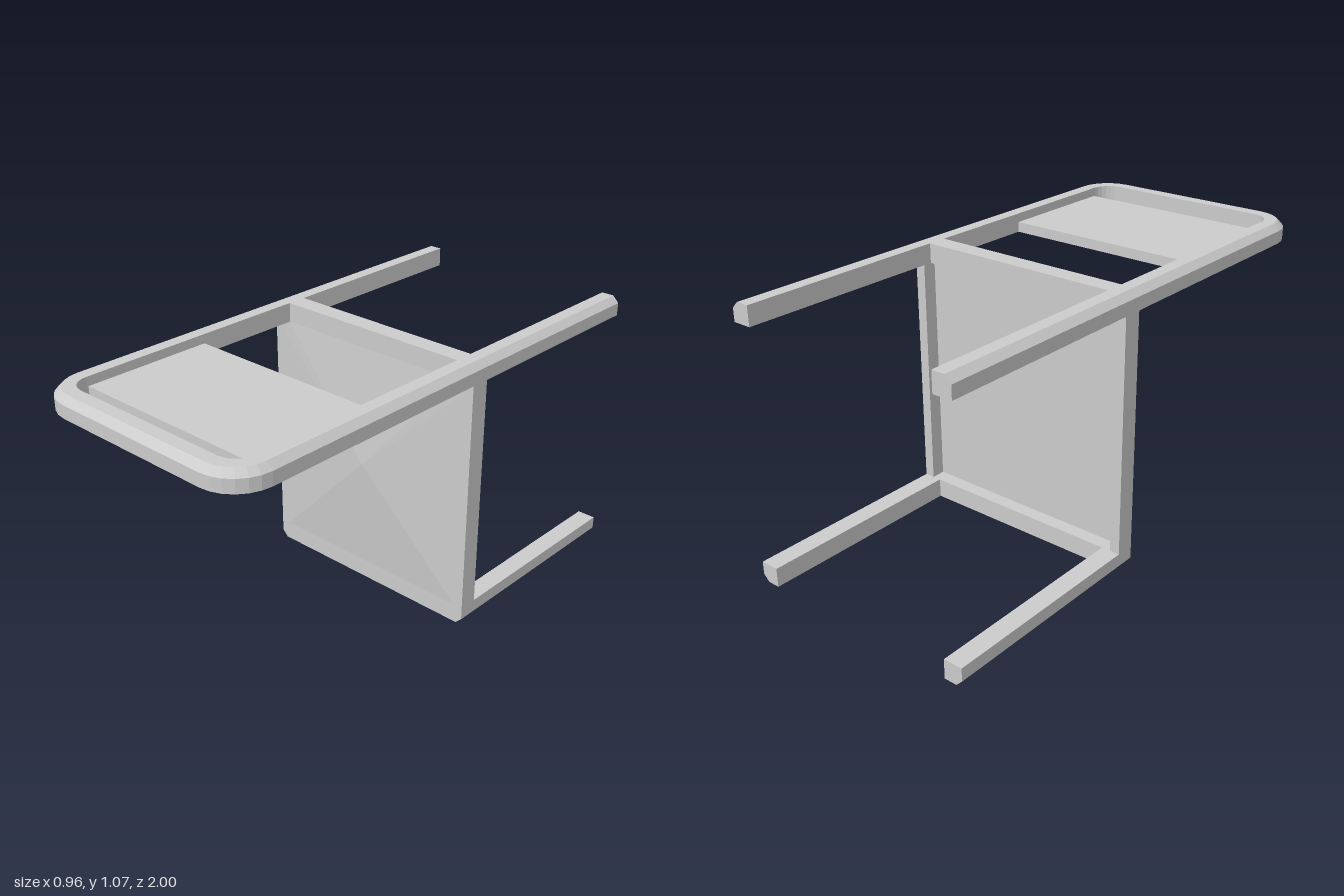
import * as THREE from 'three';

const material = new THREE.MeshStandardMaterial({ color: 0xcccccc, flatShading: true });

function fromTriangles(points, name) {
  const geometry = new THREE.BufferGeometry();
  geometry.setAttribute('position', new THREE.Float32BufferAttribute(points.flat(), 3));
  geometry.computeVertexNormals();
  const mesh = new THREE.Mesh(geometry, material);
  mesh.name = name;
  return mesh;
}

// Box given by its two opposite corners
function box(name, [x0, y0, z0], [x1, y1, z1]) {
  const mesh = new THREE.Mesh(new THREE.BoxGeometry(x1 - x0, y1 - y0, z1 - z0), material);
  mesh.position.set((x0 + x1) / 2, (y0 + y1) / 2, (z0 + z1) / 2);
  mesh.name = name;
  return mesh;
}

// Sweeps a section of [outward offset, y] along a path of [x, z, normalX, normalZ]
function sweep(name, section, path) {
  const loops = path.map(([x, z, nx, nz]) => section.map(([d, y]) => [x + nx * d, y, z + nz * d]));
  const n = section.length;
  const tris = [];
  for (let i = 0; i < loops.length - 1; i++) {
    for (let j = 0; j < n; j++) {
      const k = (j + 1) % n;
      const [a, b, c, d] = [loops[i][j], loops[i][k], loops[i + 1][k], loops[i + 1][j]];
      tris.push(a, b, c, a, c, d);
    }
  }
  const first = loops[0];
  const last = loops[loops.length - 1];
  for (let j = 1; j < n - 1; j++) {
    tris.push(first[0], first[j + 1], first[j], last[0], last[j], last[j + 1]);
  }
  return fromTriangles(tris, name);
}

// Shallow faceted bulge: a fan from a rim to one apex
function bulge(name, rim, apex) {
  return fromTriangles(rim.flatMap((p, i) => [p, rim[(i + 1) % rim.length], apex]), name);
}

export function createModel() {
  const chair = new THREE.Group();
  chair.name = 'chairLyingOnItsBack';

  // Rear legs and back frame: one U-shaped bar, chamfered on its outer top edge
  const path = [[0.405, -1, 1, 0]];
  const radius = 0.075;
  const steps = 6;
  for (const [cx, start] of [[0.33, 0], [-0.33, Math.PI / 2]]) {
    for (let i = 0; i <= steps; i++) {
      const a = start + (i / steps) * Math.PI / 2;
      const [nx, nz] = [Math.cos(a), Math.sin(a)];
      path.push([cx + radius * nx, 0.85 + radius * nz, nx, nz]);
    }
  }
  path.push([-0.405, -1, -1, 0]);
  const upperSection = [[0, 0.99], [0.075, 0.99], [0.075, 1.04], [0.05, 1.065], [0, 1.065]];
  chair.add(sweep('backFrame', upperSection, path));

  // Front legs, chamfered on their outer lower edge, and seat side rails
  const lowerSection = [[0, 0], [0.05, 0], [0.075, 0.025], [0.075, 0.075], [0, 0.075]];
  for (const s of [1, -1]) {
    const side = s > 0 ? 'left' : 'right';
    const legPath = [[s * 0.405, -1, s, 0], [s * 0.405, -0.09, s, 0]];
    if (s < 0) legPath.reverse();
    chair.add(sweep(side + 'FrontLeg', lowerSection, legPath));
    const [x0, x1] = s > 0 ? [0.44, 0.48] : [-0.48, -0.44];
    chair.add(box(side + 'SeatRail', [x0, 0.075, -0.165], [x1, 0.99, -0.09]));
  }

  // Seat cross rails, panel and faceted cushion
  chair.add(box('seatFrontRail', [-0.405, 0, -0.165], [0.405, 0.075, -0.09]));
  chair.add(box('seatRearRail', [-0.405, 0.99, -0.165], [0.405, 1.065, -0.09]));
  chair.add(box('seatPanel', [-0.44, 0.075, -0.11], [0.44, 0.99, -0.09]));
  const seatRim = [[-0.44, 0.075], [0.44, 0.075], [0.44, 0.95], [0.405, 0.99], [-0.405, 0.99], [-0.44, 0.95]];
  chair.add(bulge('seatCushion', seatRim.map(([x, y]) => [x, y, -0.09]), [0, 0.53, -0.056]));

  // Backrest panel and faceted cushion
  chair.add(box('backrestPanel', [-0.405, 0.99, 0.34], [0.405, 1.03, 0.845]));
  const backRim = [[-0.405, 0.34], [0.405, 0.34], [0.405, 0.845], [-0.405, 0.845]];
  chair.add(bulge('backrestCushion', backRim.map(([x, z]) => [x, 0.99, z]), [0, 0.957, 0.595]));

  return chair;
}
